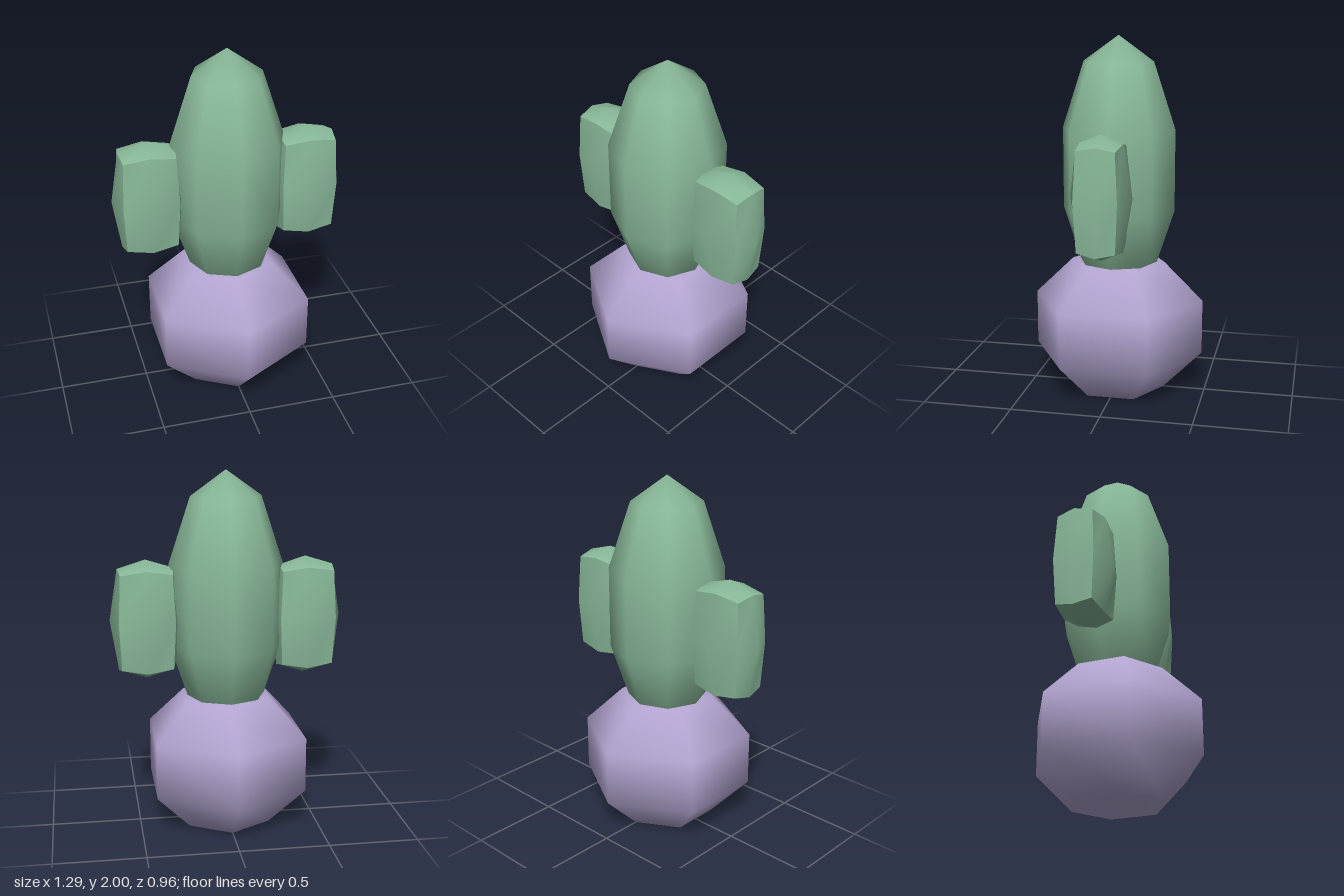
import * as THREE from 'three';

const green = new THREE.MeshStandardMaterial({ color: 0x88b898 });
green.name = 'cactusGreen';
const lilac = new THREE.MeshStandardMaterial({ color: 0xb3a5d1 });
lilac.name = 'potLilac';

function part(name, geometry, material, x, y) {
  const mesh = new THREE.Mesh(geometry, material);
  mesh.name = name;
  mesh.position.set(x, y, 0);
  return mesh;
}

// Box with bulging faces: edge midpoints and corners are drawn in, creases stay on the box edges
function armGeometry() {
  const half = [0.2, 0.333, 0.165];
  const shrink = [null, [1, 1, 1], [0.775, 0.856, 0.7], [0.71, 0.79, 0.62]];
  const geometry = new THREE.BoxGeometry(2, 2, 2, 2, 2, 2);
  const pos = geometry.attributes.position;
  for (let i = 0; i < pos.count; i++) {
    const p = [pos.getX(i), pos.getY(i), pos.getZ(i)];
    const s = shrink[p.filter((v) => Math.abs(v) > 0.5).length];
    pos.setXYZ(i, ...p.map((v, k) => v * half[k] * s[k]));
  }
  geometry.computeVertexNormals();
  return geometry;
}

export function createModel() {
  const model = new THREE.Group();
  model.name = 'pottedCactus';

  // Six-sided rounded pot, smooth shaded
  const profile = [[0, 0], [0.264, 0], [0.482, 0.22], [0.482, 0.528], [0.264, 0.742], [0, 0.742]];
  const pot = new THREE.LatheGeometry(profile.map(([r, y]) => new THREE.Vector2(r, y)), 6);
  model.add(part('pot', pot, lilac, 0, 0));

  // Tall eight-sided stem, sunk into the pot
  const stem = new THREE.SphereGeometry(1, 8, 5).scale(0.333, 0.735, 0.333);
  model.add(part('stem', stem, green, 0, 1.265));

  // Side arms
  const arm = armGeometry();
  model.add(part('leftArm', arm, green, 0.445, 1.188));
  model.add(part('rightArm', arm, green, -0.445, 1.188));

  return model;
}
